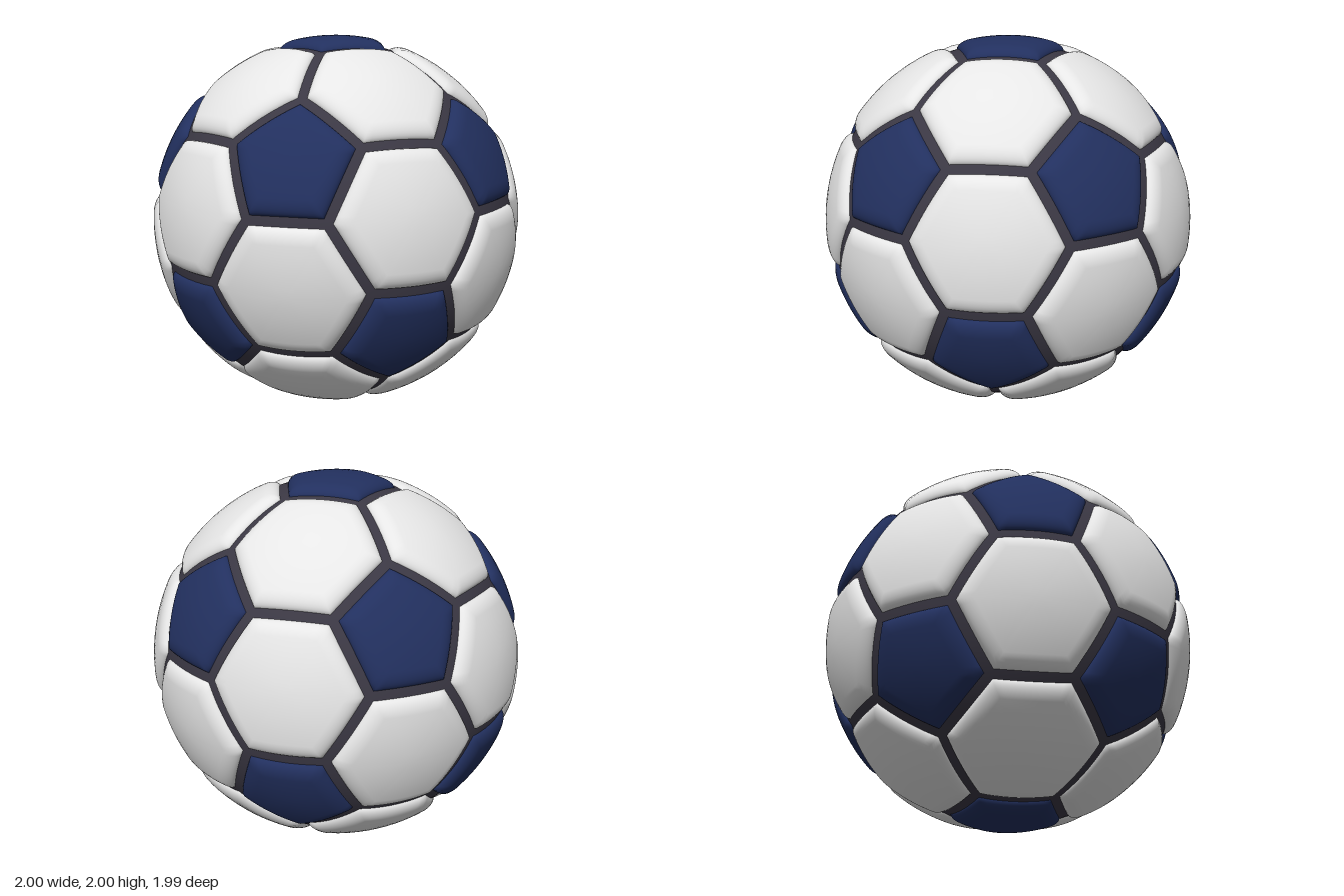
import * as THREE from 'three';

const SEAM_HALF = 0.024;  // half the gap between panels
const BEVEL = 0.085;      // width of the rounded rim of a panel
const CORE = 0.965;       // radius of the dark inner ball
const RIM = 0.957;        // radius at the panel rim, just under the core
const EDGE_STEPS = 10;

const mat = (name, color) => {
  const m = new THREE.MeshStandardMaterial({ color });
  m.name = name;
  return m;
};

// Padded spherical panel: a regular polygon, inset, puffed out to radius 1
function panelGeometry(corners) {
  const n = corners.length;
  const centre = corners.reduce((s, p) => s.add(p), new THREE.Vector3()).divideScalar(n);
  const axis = centre.clone().normalize();
  const u = corners[0].clone().sub(centre).normalize();
  const v = axis.clone().cross(u);
  const angle = (p) => {
    const d = p.clone().sub(centre);
    return Math.atan2(d.dot(v), d.dot(u));
  };
  const ordered = [...corners].sort((a, b) => angle(a) - angle(b));
  const fullInradius = corners[0].distanceTo(centre) * Math.cos(Math.PI / n);
  const inradius = fullInradius - SEAM_HALF;

  // Outline, evenly inset from the true edges
  const outline = [];
  ordered.forEach((p, i) => {
    const q = ordered[(i + 1) % n];
    for (let k = 0; k < EDGE_STEPS; k++) {
      outline.push(p.clone().lerp(q, k / EDGE_STEPS).sub(centre).multiplyScalar(inradius / fullInradius));
    }
  });

  // Rings from the middle to the rim: [scale, radius]
  const rings = [];
  const flat = 1 - BEVEL / inradius;
  for (let k = 1; k <= 5; k++) rings.push([flat * k / 5, 1]);
  for (let k = 1; k <= 8; k++) {
    const t = (1 - k / 8) * Math.PI / 2;
    rings.push([1 - BEVEL * (1 - Math.cos(t)) / inradius, RIM + (1 - RIM) * Math.sin(t)]);
  }

  const pos = [...axis.toArray()];
  const index = [];
  const m = outline.length;
  rings.forEach(([s, r], j) => {
    outline.forEach((o, i) => {
      pos.push(...centre.clone().addScaledVector(o, s).setLength(r).toArray());
      const i2 = (i + 1) % m;
      const a = 1 + j * m + i, b = 1 + j * m + i2;
      if (j === 0) index.push(0, a, b);
      else index.push(a - m, a, b, a - m, b, b - m);
    });
  });
  const g = new THREE.BufferGeometry();
  g.setAttribute('position', new THREE.Float32BufferAttribute(pos, 3));
  g.setIndex(index);
  g.computeVertexNormals();
  return g;
}

export function createModel() {
  const white = mat('white leather', 0xe6e6e6);
  const navy = mat('navy leather', 0x22305f);
  const seam = mat('dark seam', 0x3b3844);

  const model = new THREE.Group();
  model.name = 'football';
  const ball = new THREE.Group();
  ball.name = 'ball';
  ball.position.y = 1;
  model.add(ball);

  const core = new THREE.Mesh(new THREE.SphereGeometry(CORE, 96, 64), seam);
  core.name = 'seamCore';
  ball.add(core);

  // Icosahedron points: two poles and two staggered rings of five
  const h = 1 / Math.sqrt(5);
  const pts = [new THREE.Vector3(0, 1, 0), new THREE.Vector3(0, -1, 0)];
  for (let i = 0; i < 5; i++) {
    const a = i * Math.PI * 0.4;
    const up = new THREE.Vector3(2 * h * Math.cos(a), h, 2 * h * Math.sin(a));
    pts.push(up, up.clone().negate());
  }
  const near = (a, b) => a !== b && a.dot(b) > 0.4;
  const cut = (a, b) => a.clone().multiplyScalar(2).add(b).normalize();

  const addPanel = (name, corners, material) => {
    const mesh = new THREE.Mesh(panelGeometry(corners), material);
    mesh.name = name;
    ball.add(mesh);
  };

  // A pentagon at each point, a hexagon on each triangle of neighbours
  pts.forEach((a, i) => {
    addPanel('pentagonPanel', pts.filter((b) => near(a, b)).map((b) => cut(a, b)), navy);
    for (let j = i + 1; j < 12; j++) {
      for (let k = j + 1; k < 12; k++) {
        const b = pts[j], c = pts[k];
        if (near(a, b) && near(b, c) && near(a, c)) {
          addPanel('hexagonPanel', [cut(a, b), cut(b, a), cut(b, c), cut(c, b), cut(c, a), cut(a, c)], white);
        }
      }
    }
  });
  return model;
}
